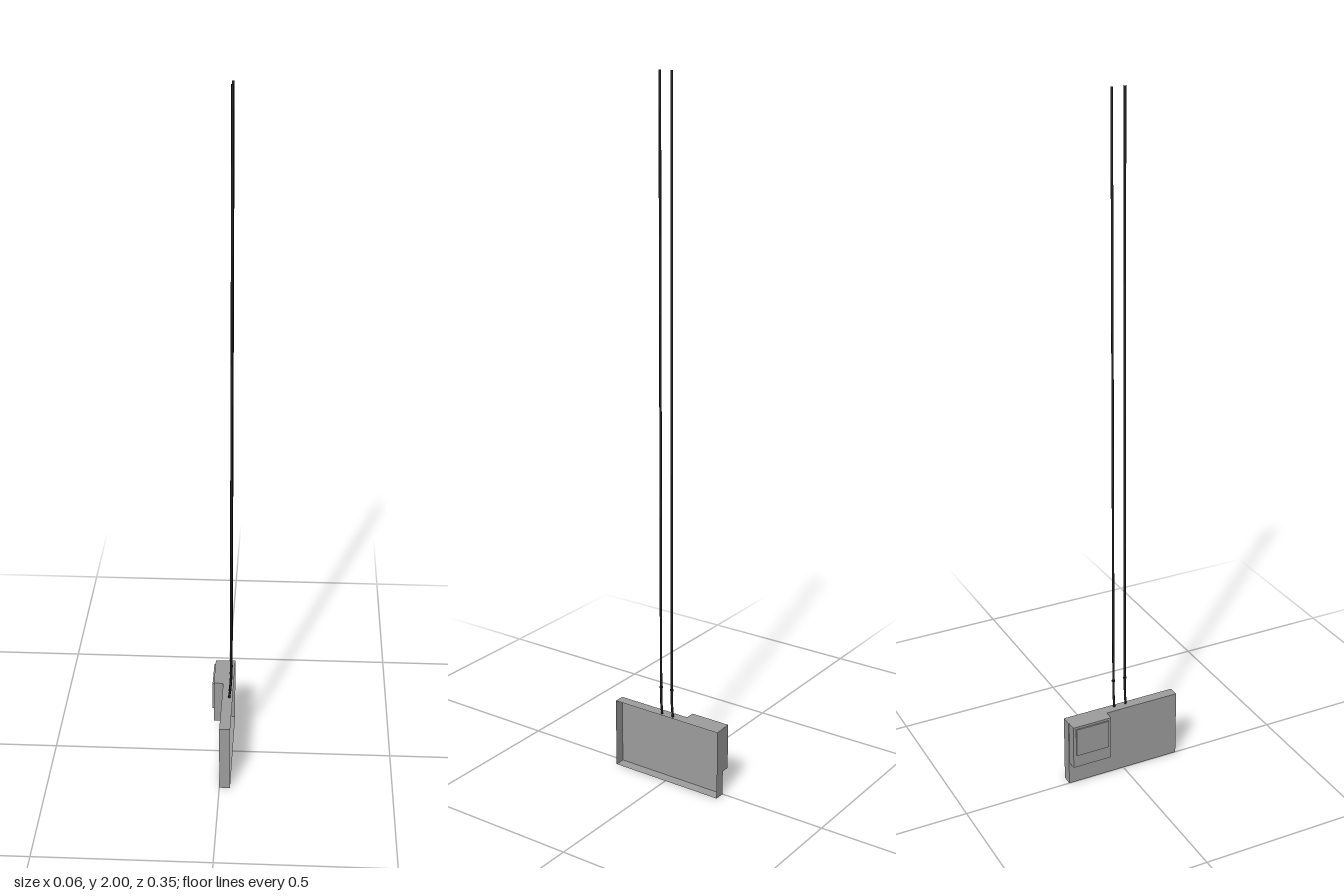
import * as THREE from 'three';

const grey = new THREE.MeshStandardMaterial({ color: 0x9e9e9e, side: THREE.DoubleSide });
const dark = new THREE.MeshStandardMaterial({ color: 0x222222 });

// Box given by its minimum and maximum corners
function boxBetween(name, min, max) {
  const size = max.map((v, i) => v - min[i]);
  const geometry = new THREE.BoxGeometry(...size);
  geometry.translate(...min.map((v, i) => v + size[i] / 2));
  const mesh = new THREE.Mesh(geometry, grey);
  mesh.name = name;
  return mesh;
}

// Hanging cable: leans out from the tray's top edge, then runs straight up
function makeCable(name, z) {
  const cable = new THREE.Group();
  cable.name = name;
  const path = new THREE.CurvePath();
  const p = (x, y) => new THREE.Vector3(x, y, z);
  path.add(new THREE.LineCurve3(p(0.021, 0.2), p(0.022, 0.215)));
  path.add(new THREE.QuadraticBezierCurve3(p(0.022, 0.215), p(0.026, 0.245), p(0.026, 0.27)));
  path.add(new THREE.LineCurve3(p(0.026, 0.27), p(0.026, 2)));
  const wire = new THREE.Mesh(new THREE.TubeGeometry(path, 120, 0.0034, 8), dark);
  wire.name = 'wire';
  const collar = new THREE.Mesh(new THREE.CylinderGeometry(0.005, 0.005, 0.004, 10), dark);
  collar.name = 'collar';
  collar.position.set(0.026, 0.29, z);
  cable.add(wire, collar);
  return cable;
}

export function createModel() {
  const model = new THREE.Group();
  model.name = 'hangingPanel';

  // Thin-walled shallow tray, open towards +x
  const tray = boxBetween('tray', [0, 0, -0.177], [0.031, 0.205, 0.176]);
  const index = Array.from(tray.geometry.index.array);
  tray.geometry.setIndex(index.slice(6)); // drop the +x face
  tray.geometry.clearGroups();
  model.add(tray);

  // Control box with a slightly raised cover on the rear of the tray
  model.add(boxBetween('controlBox', [-0.028, 0.07, -0.175], [0, 0.205, -0.054]));
  model.add(boxBetween('cover', [-0.032, 0.11, -0.166], [-0.028, 0.198, -0.063]));

  // Pair of suspension cables
  model.add(makeCable('frontCable', 0.018));
  model.add(makeCable('backCable', -0.019));
  return model;
}
